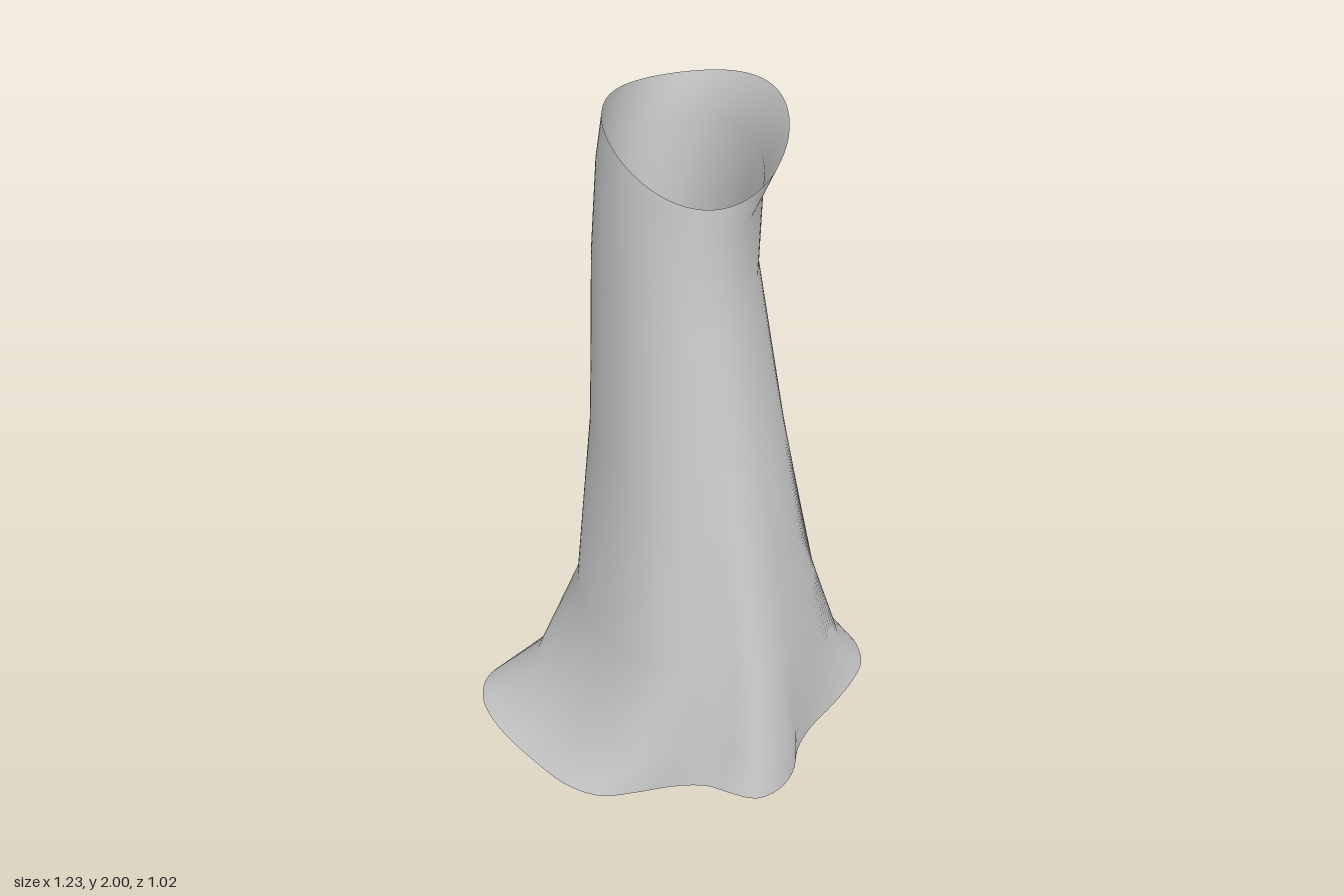
import * as THREE from 'three';

// Hem outline as [x, y, z], running right, front, left, back
const HEM = [
  [0.615, 0.025, -0.14], [0.605, 0.025, -0.05], [0.545, 0.025, 0.04], [0.46, 0.025, 0.13],
  [0.375, 0.025, 0.21], [0.315, 0.025, 0.29], [0.27, 0.03, 0.4], [0.2, 0.045, 0.48],
  [0.13, 0.055, 0.507], [0.06, 0.06, 0.475], [0, 0.055, 0.43], [-0.1, 0.045, 0.405],
  [-0.2, 0.035, 0.4], [-0.31, 0.02, 0.38], [-0.4, 0.01, 0.31], [-0.5, 0.012, 0.17],
  [-0.58, 0.02, 0.03], [-0.615, 0.025, -0.1], [-0.59, 0.028, -0.2], [-0.5, 0.03, -0.265],
  [-0.35, 0.03, -0.295], [-0.22, 0.03, -0.31], [-0.14, 0.025, -0.345], [-0.09, 0.015, -0.42],
  [-0.04, 0.008, -0.49], [0.05, 0.003, -0.51], [0.2, 0, -0.475], [0.4, 0.003, -0.38],
  [0.54, 0.012, -0.275], [0.605, 0.022, -0.19],
];

// Rings: height fraction, share of the hem shape, x range, z range
const RINGS = [
  [0, 1, -0.615, 0.615, -0.51, 0.51],
  [0.075, 0.75, -0.44, 0.52, -0.455, 0.485],
  [0.24, 0.37, -0.305, 0.415, -0.41, 0.435],
  [0.53, 0.11, -0.25, 0.3, -0.39, 0.355],
  [0.8, 0.02, -0.23, 0.215, -0.38, 0.285],
  [0.935, 0, -0.21, 0.225, -0.382, 0.27],
  [1, 0, -0.19, 0.29, -0.4, 0.275],
];
const SIDES = 120;

// Slanted, saddle-shaped top rim
const rimHeight = (a) => 1.945 + 0.018 * Math.cos(a) - 0.04 * Math.sin(a) + 0.032 * Math.cos(2 * a);

// Stretch values so that they fill the range lo..hi
function fit(values, lo, hi) {
  const min = Math.min(...values), max = Math.max(...values);
  return values.map((v) => lo + ((v - min) / (max - min)) * (hi - lo));
}

export function createModel() {
  const group = new THREE.Group();
  group.name = 'flaredSleeve';

  const curve = new THREE.CatmullRomCurve3(HEM.map((p) => new THREE.Vector3(...p)), true);
  const hem = curve.getSpacedPoints(SIDES).slice(0, SIDES);
  const columns = hem.map((p) => {
    const x = p.x / 0.615, z = p.z / 0.51;
    return { x, z, y: Math.max(0, p.y), a: Math.atan2(z, x) };
  });

  // Blend every ring from the wavy hem to the oval neck
  const positions = [], index = [];
  RINGS.forEach(([t, w, x0, x1, z0, z1], r) => {
    const xs = fit(columns.map((c) => THREE.MathUtils.lerp(Math.cos(c.a), c.x, w)), x0, x1);
    const zs = fit(columns.map((c) => THREE.MathUtils.lerp(Math.sin(c.a), c.z, w)), z0, z1);
    columns.forEach((c, j) => {
      positions.push(xs[j], THREE.MathUtils.lerp(c.y, rimHeight(c.a), t), zs[j]);
      if (r === RINGS.length - 1) return;
      const a = r * SIDES + j, b = r * SIDES + ((j + 1) % SIDES);
      index.push(a, a + SIDES, b, b, a + SIDES, b + SIDES);
    });
  });

  const geometry = new THREE.BufferGeometry();
  geometry.setAttribute('position', new THREE.Float32BufferAttribute(positions, 3));
  geometry.setIndex(index);
  geometry.computeVertexNormals();

  // Open shell, visible inside and out
  const shell = new THREE.Mesh(
    geometry,
    new THREE.MeshStandardMaterial({ color: 0xcccccc, side: THREE.DoubleSide })
  );
  shell.name = 'sleeveShell';
  group.add(shell);
  return group;
}
